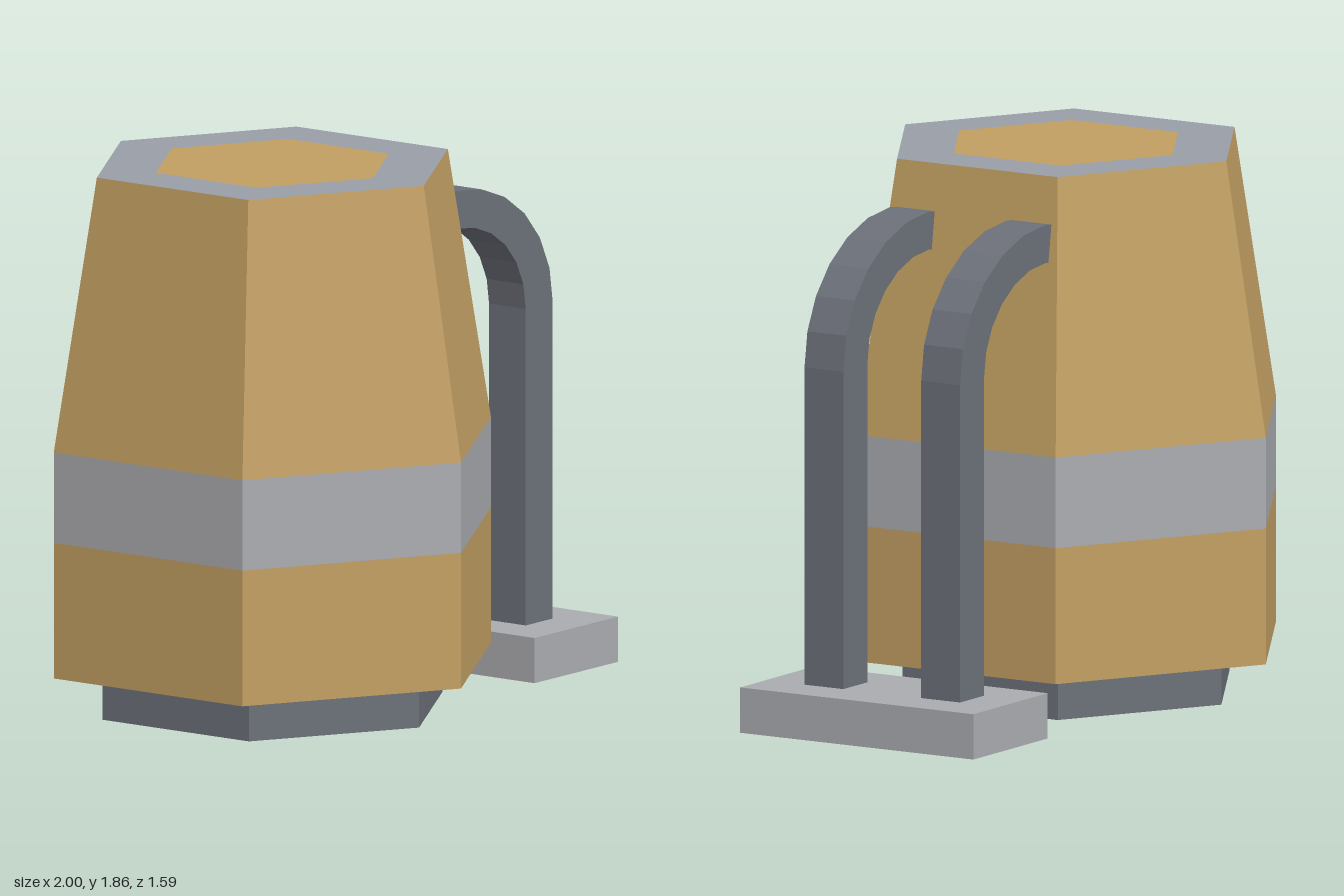
import * as THREE from 'three';

const TAN = 0xc29f62, LIGHT = 0xabacb0, RIM = 0x9a9ea6, DARK = 0x6c7079;
const TANK_X = -0.31;

function part(parent, name, geometry, color, x = 0, y = 0, z = 0) {
  const material = new THREE.MeshStandardMaterial({ color, flatShading: true });
  const mesh = new THREE.Mesh(geometry, material);
  mesh.name = name;
  mesh.position.set(x, y, z);
  parent.add(mesh);
  return mesh;
}

// Six-sided wall between two heights, with a corner toward the front
function hexWall(parent, name, rBottom, rTop, y0, y1, color, open = true) {
  const geometry = new THREE.CylinderGeometry(rTop, rBottom, y1 - y0, 6, 1, open);
  return part(parent, name, geometry, color, 0, (y0 + y1) / 2);
}

// Square-section pipe outline: straight riser, then a bend toward the tank
function pipeGeometry(width) {
  const cx = 0.305, cy = 1.24, end = 0.265, steps = 6;
  const arc = (rx, ry) => Array.from({ length: steps + 1 }, (_, i) => {
    const a = (i / steps) * Math.PI / 2;
    return new THREE.Vector2(cx + rx * Math.cos(a), cy + ry * Math.sin(a));
  });
  const shape = new THREE.Shape([
    new THREE.Vector2(0.84, 0.15),
    ...arc(0.535, 0.465),
    new THREE.Vector2(end, 1.7),
    new THREE.Vector2(end, 1.57),
    ...arc(0.385, 0.335).reverse(),
    new THREE.Vector2(0.69, 0.15),
  ]);
  return new THREE.ExtrudeGeometry(shape, { depth: width, bevelEnabled: false })
    .translate(0, 0, -width / 2);
}

export function createModel() {
  const model = new THREE.Group();
  model.name = 'storageTank';

  // Hexagonal tank
  const tank = new THREE.Group();
  tank.name = 'tank';
  tank.position.x = TANK_X;
  model.add(tank);
  hexWall(tank, 'foot', 0.62, 0.62, 0, 0.155, DARK, false);
  hexWall(tank, 'lowerWall', 0.797, 0.797, 0.155, 0.62, TAN);
  hexWall(tank, 'band', 0.797, 0.797, 0.62, 0.93, LIGHT);
  hexWall(tank, 'upperWall', 0.797, 0.64, 0.93, 1.86, TAN);

  // Overhanging underside, flat rim and centre lid
  const underside = new THREE.CircleGeometry(0.797, 6, Math.PI / 2).rotateX(Math.PI / 2);
  part(tank, 'underside', underside, TAN, 0, 0.155);
  const rim = new THREE.RingGeometry(0.425, 0.64, 6, 1, Math.PI / 2).rotateX(-Math.PI / 2);
  part(tank, 'rim', rim, RIM, 0, 1.86);
  const lid = new THREE.CircleGeometry(0.425, 6, Math.PI / 2).rotateX(-Math.PI / 2);
  part(tank, 'lid', lid, TAN, 0, 1.86);

  // Pipe pad and the pair of pipes
  part(model, 'pipePad', new THREE.BoxGeometry(0.465, 0.155, 0.93), LIGHT, 0.7675, 0.0775);
  const pipe = pipeGeometry(0.155);
  for (const side of [-1, 1]) {
    part(model, side > 0 ? 'frontPipe' : 'backPipe', pipe, DARK, 0, 0, side * 0.2325);
  }
  return model;
}
